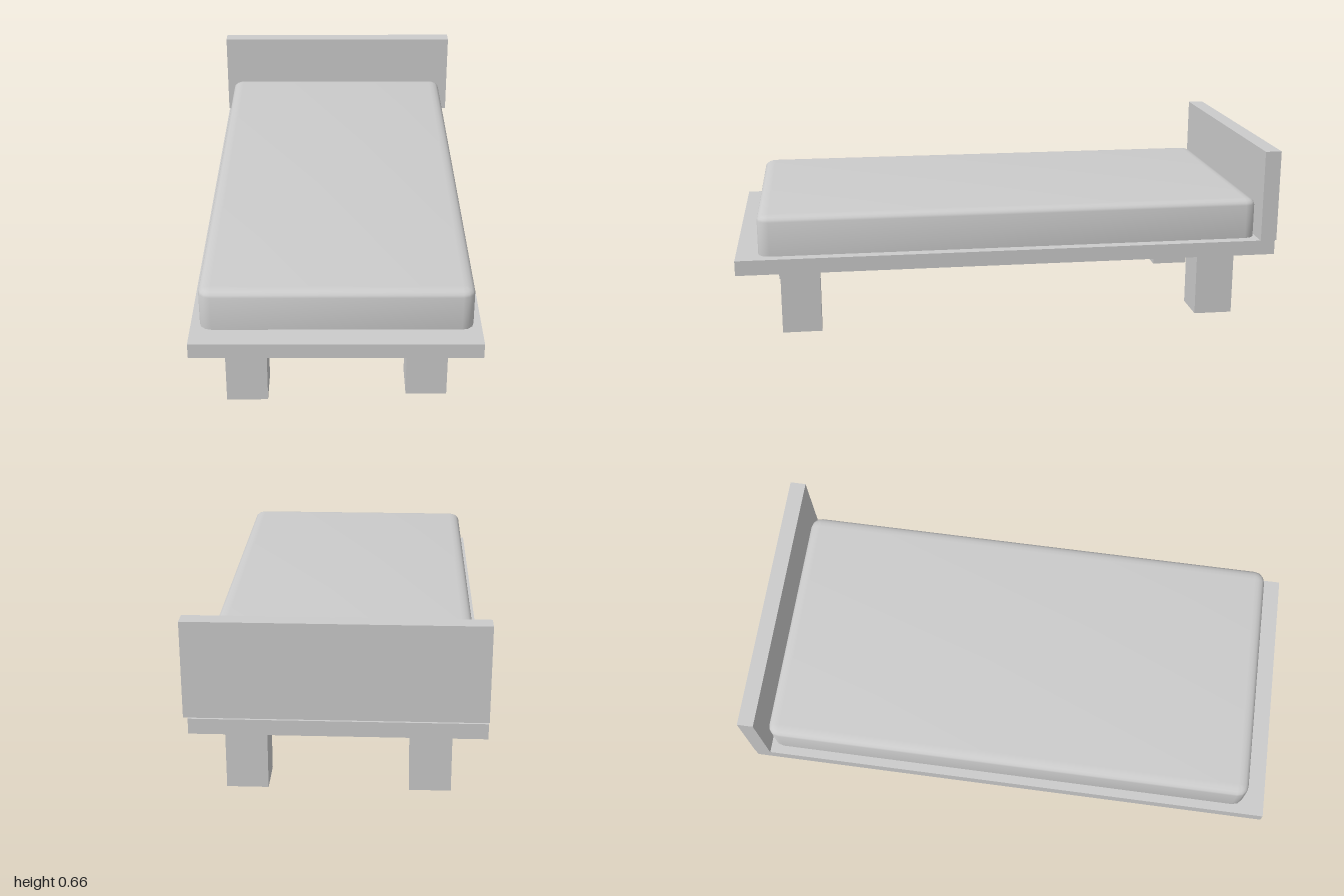
import * as THREE from 'three';
import { toCreasedNormals } from 'three/addons/utils/BufferGeometryUtils.js';

const material = new THREE.MeshStandardMaterial({ color: 0xcccccc });

// Box given by its limits on each axis
function slab(name, [x0, x1], [y0, y1], [z0, z1]) {
  const mesh = new THREE.Mesh(new THREE.BoxGeometry(x1 - x0, y1 - y0, z1 - z0), material);
  mesh.position.set((x0 + x1) / 2, (y0 + y1) / 2, (z0 + z1) / 2);
  mesh.name = name;
  return mesh;
}

// Block with rounded upright corners and a soft top edge, stacked from rings
function cushionGeometry(width, depth, height, radius, drop) {
  const steps = 3, arc = 4;
  const ring = (r, y) => {
    const points = [];
    for (let corner = 0; corner < 4; corner++) {
      const sx = corner === 0 || corner === 3 ? 1 : -1;
      const sz = corner < 2 ? 1 : -1;
      for (let i = 0; i <= steps; i++) {
        const a = (corner + i / steps) * Math.PI / 2;
        points.push([
          sx * (width / 2 - radius) + r * Math.cos(a), y,
          sz * (depth / 2 - radius) + r * Math.sin(a),
        ]);
      }
    }
    return points;
  };

  const rings = [ring(radius, 0)];
  for (let k = 0; k <= arc; k++) {
    const t = (k / arc) * Math.PI / 2;
    rings.push(ring(radius * Math.max(Math.cos(t), 0.02), height - drop + drop * Math.sin(t)));
  }

  const positions = [];
  const tri = (a, b, c) => positions.push(...a, ...b, ...c);
  const n = rings[0].length, top = rings[rings.length - 1];
  for (let j = 0; j < n; j++) {
    const next = (j + 1) % n;
    for (let k = 0; k < rings.length - 1; k++) {
      const low = rings[k], high = rings[k + 1];
      tri(low[j], high[j], low[next]);
      tri(low[next], high[j], high[next]);
    }
    tri([0, height, 0], top[next], top[j]);
    tri([0, 0, 0], rings[0][j], rings[0][next]);
  }
  const geometry = new THREE.BufferGeometry();
  geometry.setAttribute('position', new THREE.Float32BufferAttribute(positions, 3));
  return toCreasedNormals(geometry, 0.7);
}

export function createModel() {
  const bed = new THREE.Group();
  bed.name = 'bed';

  // Base board and headboard
  bed.add(slab('baseBoard', [-0.505, 0.49], [0.263, 0.318], [-1, 1]));
  bed.add(slab('headboard', [-0.507, 0.505], [0.322, 0.663], [-1, -0.94]));

  // Mattress
  const mattress = new THREE.Mesh(cushionGeometry(0.936, 1.853, 0.148, 0.042, 0.022), material);
  mattress.position.set(-0.005, 0.322, -0.008);
  mattress.name = 'mattress';
  bed.add(mattress);

  // Square legs; the front left one sits slightly further back
  const legs = [
    ['frontLeftLeg', 0.24, 0.70], ['frontRightLeg', -0.393, 0.733],
    ['backLeftLeg', 0.24, -0.878], ['backRightLeg', -0.393, -0.878],
  ];
  for (const [name, x, z] of legs) {
    bed.add(slab(name, [x, x + 0.145], [0, 0.255], [z, z + 0.145]));
  }
  return bed;
}
